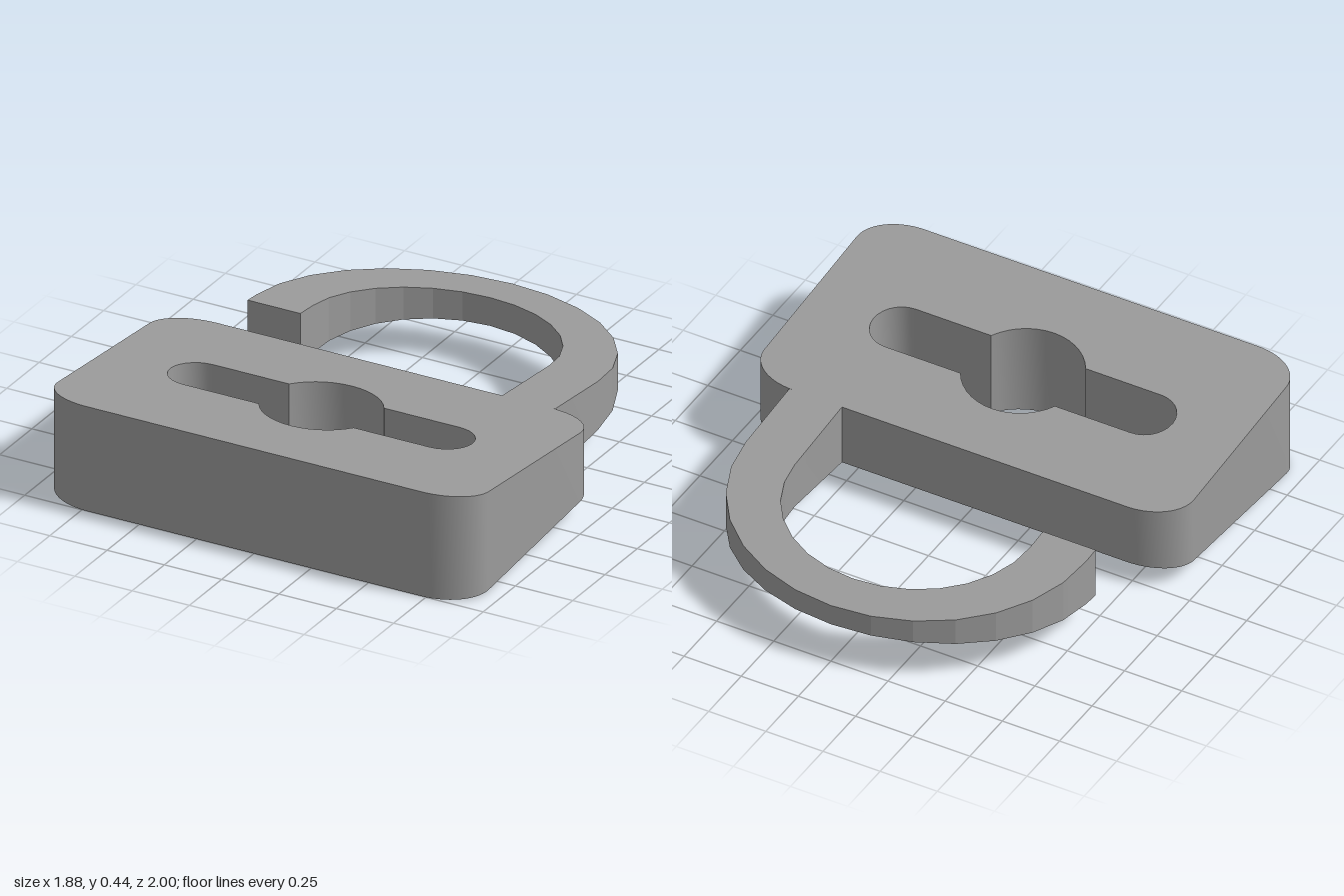
import * as THREE from 'three';
import { toCreasedNormals } from 'three/addons/utils/BufferGeometryUtils.js';

const MID = 0.2225; // height of the symmetry plane

// Extrude a plan outline (shape y = -z) and taper its thickness toward the back
function taperedPlate(name, shape, crease) {
  const geo = new THREE.ExtrudeGeometry(shape, { depth: 1, bevelEnabled: false, curveSegments: 7 });
  geo.rotateX(-Math.PI / 2);
  const p = geo.attributes.position;
  for (let i = 0; i < p.count; i++) {
    const half = 0.1338 + 0.0887 * p.getZ(i);
    p.setY(i, MID + (p.getY(i) > 0.5 ? half : -half));
  }
  const mesh = new THREE.Mesh(
    toCreasedNormals(geo, crease),
    new THREE.MeshStandardMaterial({ color: 0x9b9b9b })
  );
  mesh.name = name;
  return mesh;
}

// Rounded rectangle with elliptical corners
function bodyShape() {
  const s = new THREE.Shape();
  const w = 0.94, top = 0.01, bottom = -1, rx = 0.21, ry = 0.15, q = Math.PI / 2;
  [[1, top - ry], [-1, top - ry], [-1, bottom + ry], [1, bottom + ry]].forEach(([side, cy], i) => {
    s.absellipse(side * (w - rx), cy, rx, ry, i * q, (i + 1) * q, false, 0);
  });
  s.closePath();
  return s;
}

// Keyhole: a round hole crossed by a long slot
function keyhole() {
  const h = new THREE.Path();
  const cy = -0.477, R = 0.238, r = 0.118, ex = 0.537, PI = Math.PI;
  const a = Math.asin(r / R);
  h.absarc(0, cy, R, a, PI - a, false);
  h.absarc(-ex, cy, r, PI / 2, PI * 1.5, false);
  h.absarc(0, cy, R, PI + a, 2 * PI - a, false);
  h.absarc(ex, cy, r, -PI / 2, PI / 2, false);
  h.closePath();
  return h;
}

// Open hook: long leg joins the body, short leg ends free
function shackleShape() {
  const s = new THREE.Shape();
  const xo = 0.745, xi = 0.515, root = 0.01, tip = 0.275;
  s.moveTo(xo, root);
  s.lineTo(xo, 0.344);
  s.absellipse(0, 0.344, xo, 0.656, 0, Math.PI, false, 0);
  s.lineTo(-xo, tip);
  s.lineTo(-xi, tip);
  s.lineTo(-xi, 0.373);
  s.absellipse(0, 0.373, xi, 0.457, Math.PI, 0, true, 0);
  s.lineTo(xi, root);
  s.closePath();
  return s;
}

export function createModel() {
  const group = new THREE.Group();
  group.name = 'openPadlock';
  const body = bodyShape();
  body.holes.push(keyhole());
  group.add(taperedPlate('lockBody', body, 0.35));
  group.add(taperedPlate('shackle', shackleShape(), 0.15));
  return group;
}
